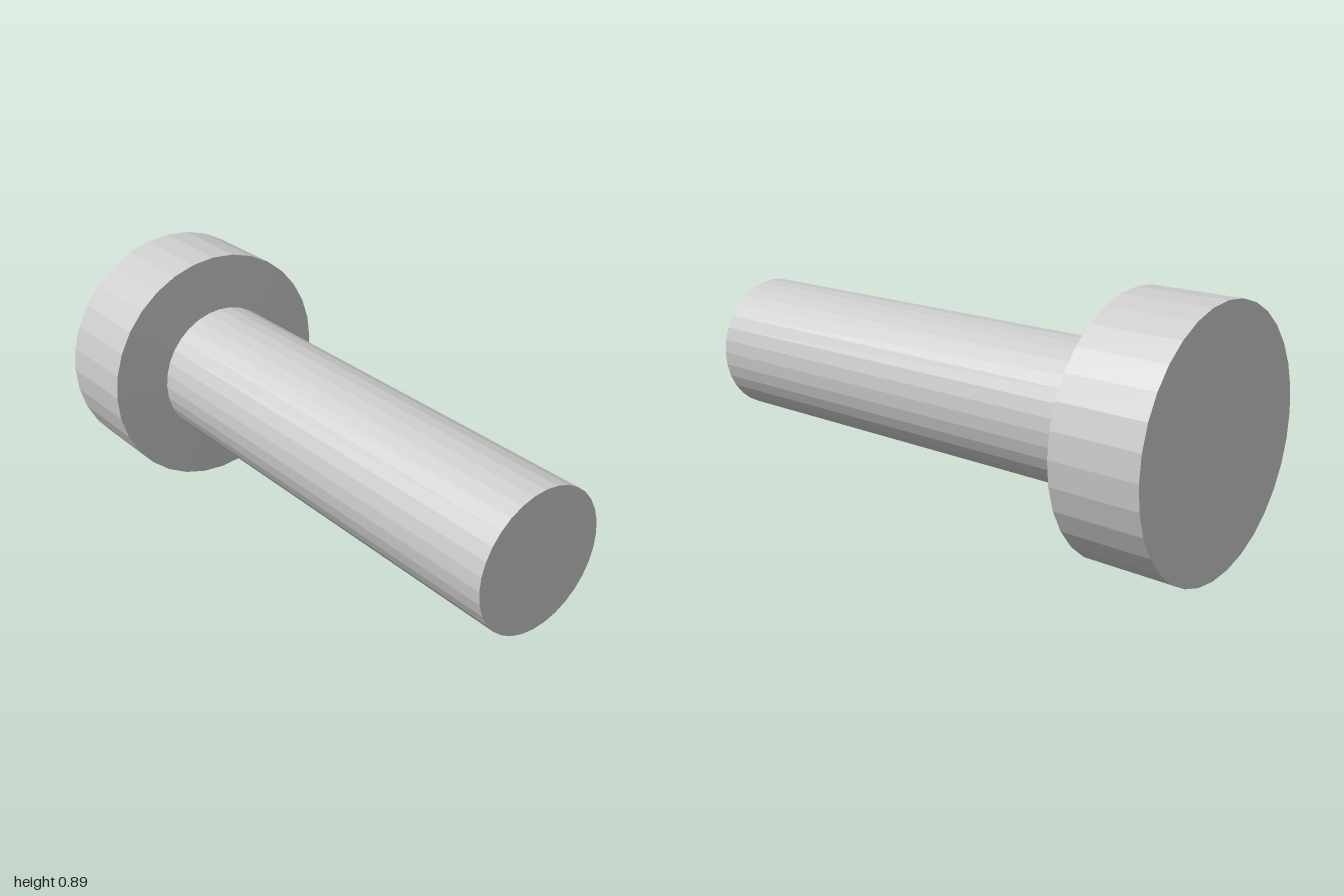
import * as THREE from 'three';

const SIDES = 32;
const HEAD_R = 0.443;
const SHAFT_R = 0.247;
const SHOULDER_Z = -0.657;

const material = new THREE.MeshStandardMaterial({ color: 0xcccccc, flatShading: true });

// Turned part around the z axis; profile is [radius, z] from back to front
function turned(name, profile) {
  const points = profile.map(([r, z]) => new THREE.Vector2(r, z));
  const geometry = new THREE.LatheGeometry(points, SIDES).rotateX(Math.PI / 2);
  const mesh = new THREE.Mesh(geometry, material);
  mesh.name = name;
  mesh.position.y = HEAD_R;
  return mesh;
}

export function createModel() {
  const group = new THREE.Group();
  group.name = 'headedPin';

  // Flat-backed head with a shallow conical shoulder
  group.add(turned('head', [
    [0, -1], [HEAD_R, -1], [HEAD_R, -0.685], [SHAFT_R, SHOULDER_Z],
  ]));

  // Straight shaft with a flat end
  group.add(turned('shaft', [
    [SHAFT_R, SHOULDER_Z], [SHAFT_R, 1], [0, 1],
  ]));

  return group;
}
